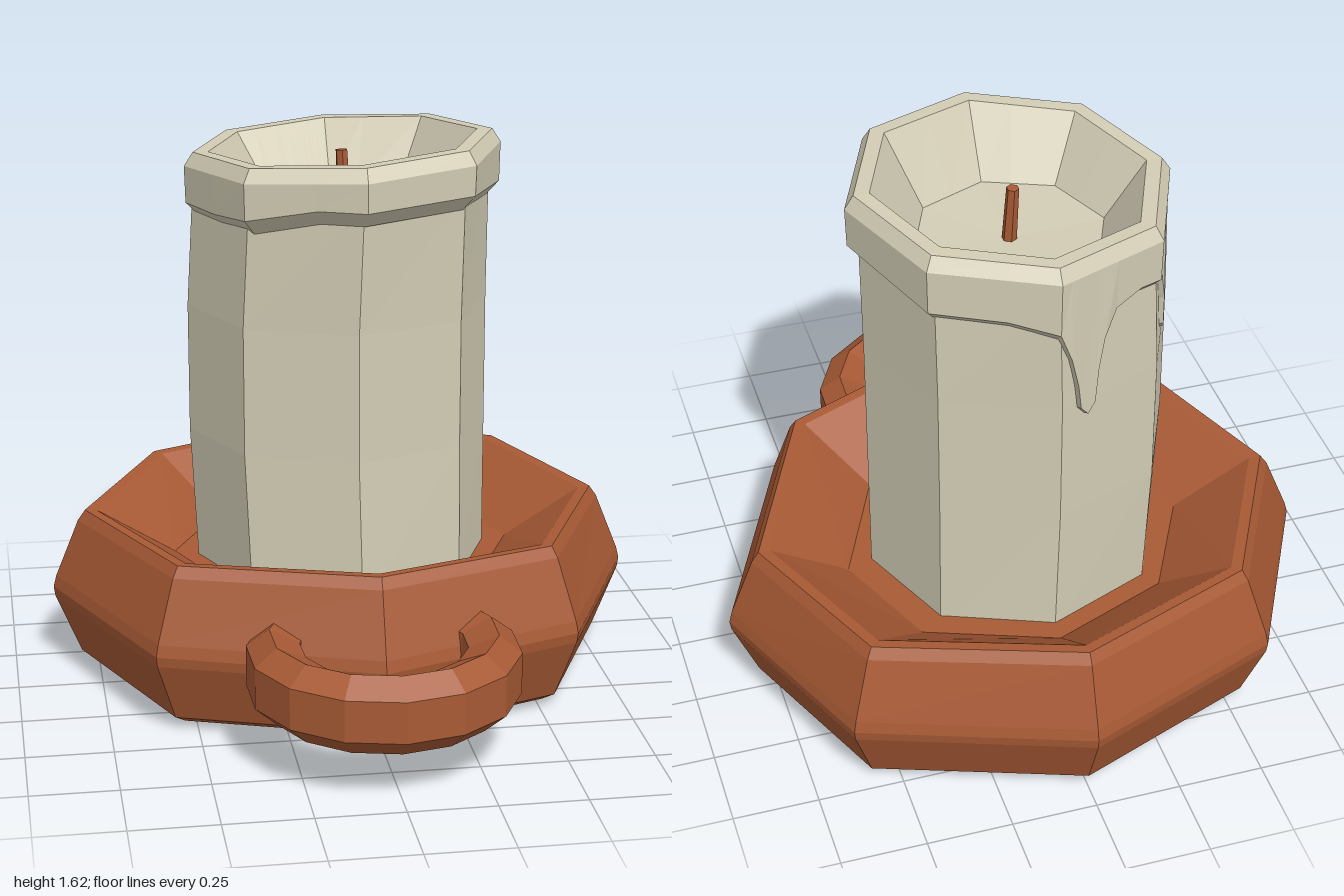
import * as THREE from 'three';

// Point on a unit octagon; s = 0 at the front (+z), 2 at +x, 4 at the back, 6 at -x
function octagon(s) {
  const k = Math.floor(s), f = s - k;
  const corner = (i) => [Math.sin(i * Math.PI / 4), Math.cos(i * Math.PI / 4)];
  const a = corner(k), b = corner(k + 1);
  return [a[0] + (b[0] - a[0]) * f, a[1] + (b[1] - a[1]) * f];
}

// Give every face its own flat normal
function facet(geometry) {
  const g = geometry.index ? geometry.toNonIndexed() : geometry;
  g.computeVertexNormals();
  return g;
}

// Skin closed rings of [x, y, z] points, ordered from the outside bottom upward
function loft(rings) {
  const pos = [];
  for (let i = 0; i < rings.length - 1; i++) {
    const n = rings[i].length;
    for (let k = 0; k < n; k++) {
      const a = rings[i][k], b = rings[i][(k + 1) % n];
      const c = rings[i + 1][(k + 1) % n], d = rings[i + 1][k];
      pos.push(...a, ...b, ...c, ...a, ...c, ...d);
    }
  }
  const g = new THREE.BufferGeometry();
  g.setAttribute('position', new THREE.Float32BufferAttribute(pos, 3));
  return facet(g);
}

export function createModel() {
  const group = new THREE.Group();
  const clay = new THREE.MeshStandardMaterial({ color: 0xa85a35 });
  clay.name = 'terracotta';
  const wax = new THREE.MeshStandardMaterial({ color: 0xd3cdb5 });
  wax.name = 'wax';

  const add = (name, geometry, material) => {
    const mesh = new THREE.Mesh(geometry, material);
    mesh.name = name;
    group.add(mesh);
    return mesh;
  };
  const corners = [0, 1, 2, 3, 4, 5, 6, 7];

  // Dish: uneven octagon, bevelled at foot, waist and rim: [scale, y, wobble]
  const outline = [[0, 0.83], [0.6, 0.59], [0.875, -0.03], [0.64, -0.59],
    [0, -0.83], [-0.6, -0.59], [-0.88, -0.04], [-0.62, 0.59]];
  const dishProfile = [[0, 0.02, 0], [0.86, 0.015, 0.01], [0.91, 0.04, 0.01],
    [0.995, 0.22, 0.01], [1, 0.25, 0.01], [0.99, 0.285, 0.01], [0.91, 0.465, 0.015],
    [0.885, 0.497, 0.015], [0.845, 0.495, 0.015], [0.58, 0.34, 0], [0, 0.34, 0]];
  add('dish', loft(dishProfile.map(([r, y, w]) => outline.map(([x, z], k) =>
    [x * r, y + w * Math.cos(k * Math.PI / 2), z * r - 0.17]))), clay);

  // Handle: faceted horizontal ring running into the dish wall
  const section = [[0.385, 0.2], [0.385, 0.32], [0.32, 0.37], [0.235, 0.33],
    [0.225, 0.2], [0.32, 0.142], [0.385, 0.2]].map(([r, y]) => new THREE.Vector2(r, y));
  const handle = add('handle',
    facet(new THREE.LatheGeometry(section, 10, -2.2, 4.4)), clay);
  handle.position.z = 0.61;

  // Candle body, slightly bowed: [y, centre x, centre z, radius x, radius z]
  const body = [[0.3, -0.005, -0.16, 0.435, 0.425], [0.74, -0.015, -0.165, 0.446, 0.42],
    [1.12, -0.015, -0.165, 0.446, 0.42], [1.5, -0.003, -0.158, 0.437, 0.43]];
  add('candleBody', loft(body.map(([y, cx, cz, rx, rz]) => corners.map((s) => {
    const [x, z] = octagon(s);
    return [cx + x * rx, y, cz + z * rz];
  }))), wax);

  // Melted lip with two drips at the back: [position round the octagon, lower edge y]
  const columns = [[0, 1.44], [0.5, 1.445], [1, 1.45], [2, 1.42], [3, 1.39], [3.6, 1.375],
    [4, 1.34], [4.1, 1.27], [4.17, 1.17], [4.2, 1.09], [4.27, 1.06], [4.34, 1.09],
    [4.37, 1.2], [4.42, 1.29], [4.55, 1.345], [4.8, 1.37], [5, 1.365], [5.2, 1.33],
    [5.28, 1.26], [5.3, 1.165], [5.36, 1.14], [5.43, 1.165], [5.45, 1.27], [5.52, 1.34],
    [5.7, 1.385], [6, 1.385], [6.5, 1.385], [7, 1.40], [7.6, 1.44]];
  const rimY = (x, z) => 1.6 + 0.022 * x + 0.01 * z;
  const lip = (radius, height) => columns.map(([s, low]) => {
    const [x, z] = octagon(s);
    const r = radius(low);
    return [x * r, height(low, rimY(x, z)), z * r - 0.147];
  });
  add('meltedLip', loft([
    lip(() => 0.42, (low) => low),
    lip((low) => (low < 1.3 ? 0.472 : 0.463), (low) => low + (low < 1.3 ? 0.025 : 0.045)),
    lip(() => 0.466, (low, top) => top - 0.04),
    lip(() => 0.44, (low, top) => top),
    lip(() => 0.395, (low, top) => top),
    lip(() => 0.275, () => 1.41),
    lip(() => 0, () => 1.4),
  ]), wax);

  // Wick
  const wick = add('wick', facet(new THREE.CylinderGeometry(0.018, 0.022, 0.2, 6)), clay);
  wick.position.set(0, 1.47, -0.155);
  wick.rotation.set(-0.05, 0, 0.04);

  return group;
}
